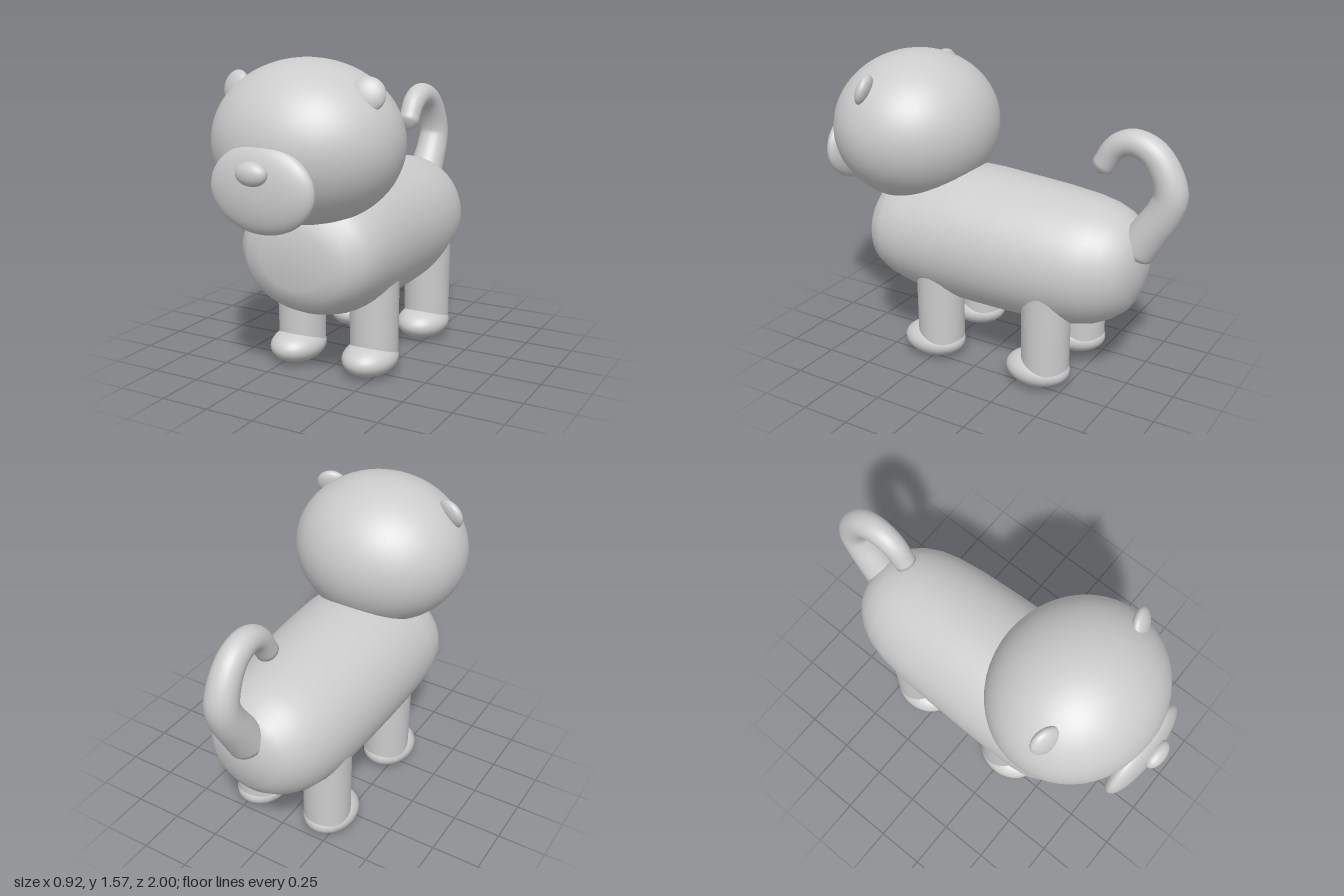
import * as THREE from 'three';

// Skin rings of points (each counter-clockwise around the travel direction), closed by a point at each end
function loft(rings, start, end) {
  const n = rings[0].length, pos = [], idx = [];
  rings.forEach(r => r.forEach(p => pos.push(p.x, p.y, p.z)));
  const s = rings.length * n, e = s + 1, last = (rings.length - 1) * n;
  pos.push(start.x, start.y, start.z, end.x, end.y, end.z);
  for (let i = 0; i < rings.length - 1; i++) {
    for (let j = 0; j < n; j++) {
      const a = i * n + j, b = i * n + (j + 1) % n;
      idx.push(a, b, a + n, b, b + n, a + n);
    }
  }
  for (let j = 0; j < n; j++) {
    const k = (j + 1) % n;
    idx.push(s, k, j, e, last + j, last + k);
  }
  const g = new THREE.BufferGeometry();
  g.setAttribute('position', new THREE.Float32BufferAttribute(pos, 3));
  g.setIndex(idx);
  g.computeVertexNormals();
  return g;
}

export function createModel() {
  const group = new THREE.Group();
  const grey = new THREE.MeshStandardMaterial({ color: 0xcccccc });
  grey.name = 'plain grey';

  const add = (name, geometry, x = 0, y = 0, z = 0) => {
    const m = new THREE.Mesh(geometry, grey);
    m.name = name;
    m.position.set(x, y, z);
    group.add(m);
    return m;
  };
  const ball = (name, x, y, z, rx, ry, rz) =>
    add(name, new THREE.SphereGeometry(1, 48, 32).scale(rx, ry, rz), x, y, z);

  // Body: oval sections from rump to chest [z, half width, bottom, top]
  const sections = [
    [-0.8, 0.09, 0.57, 0.76], [-0.775, 0.18, 0.485, 0.83], [-0.74, 0.225, 0.425, 0.875],
    [-0.68, 0.275, 0.375, 0.92], [-0.6, 0.315, 0.335, 0.948], [-0.5, 0.341, 0.312, 0.967],
    [-0.35, 0.36, 0.298, 0.982], [-0.15, 0.37, 0.295, 0.995], [0.05, 0.376, 0.296, 1.008],
    [0.25, 0.379, 0.304, 1.008], [0.4, 0.376, 0.323, 0.99], [0.5, 0.362, 0.352, 0.965],
    [0.57, 0.33, 0.385, 0.925], [0.62, 0.27, 0.435, 0.865], [0.643, 0.18, 0.505, 0.8],
  ];
  const bodyRings = sections.map(([z, w, lo, hi]) =>
    Array.from({ length: 48 }, (_, j) => {
      const a = j / 48 * Math.PI * 2;
      return new THREE.Vector3(Math.cos(a) * w, (lo + hi) / 2 + Math.sin(a) * (hi - lo) / 2, z);
    }));
  add('body', loft(bodyRings, new THREE.Vector3(0, 0.67, -0.81), new THREE.Vector3(0, 0.68, 0.658)));

  // Head, muzzle and nose
  ball('head', 0, 1.185, 0.49, 0.462, 0.386, 0.418);
  ball('muzzle', 0, 1.03, 0.88, 0.265, 0.2, 0.075);
  ball('nose', 0, 1.112, 0.957, 0.078, 0.054, 0.043);

  // Ears, legs and feet on both sides
  for (const [side, s] of [['left', 1], ['right', -1]]) {
    const ear = ball(side + 'Ear', s * 0.347, 1.427, 0.56, 0.08, 0.08, 0.037);
    ear.rotation.set(-0.33, s * 0.33, 0);
    for (const [end, z] of [['Front', 0.228], ['Rear', -0.392]]) {
      const leg = new THREE.CylinderGeometry(0.125, 0.12, 0.5, 32);
      add(side + end + 'Leg', leg, s * 0.208, 0.34, z);
      ball(side + end + 'Foot', s * 0.208, 0.09, z + 0.04, 0.134, 0.086, 0.168);
    }
  }

  // Tail: tapering tube curling up and forward, ending in a blunt point
  const path = new THREE.CatmullRomCurve3([
    [0.75, -0.76], [0.86, -0.83], [0.96, -0.89], [1.05, -0.918], [1.16, -0.885],
    [1.245, -0.815], [1.275, -0.72], [1.24, -0.637], [1.135, -0.567],
  ].map(([y, z]) => new THREE.Vector3(0, y, z)));
  const steps = 40, side = new THREE.Vector3(1, 0, 0), tailRings = [];
  for (let i = 0; i <= steps; i++) {
    const t = i / steps, c = path.getPointAt(t);
    const up = path.getTangentAt(t).cross(side);
    const r = 0.098 - 0.042 * Math.min(1, t * 1.05);
    tailRings.push(Array.from({ length: 24 }, (_, j) => {
      const a = j / 24 * Math.PI * 2;
      return c.clone().addScaledVector(side, Math.cos(a) * r).addScaledVector(up, Math.sin(a) * r);
    }));
  }
  add('tail', loft(tailRings, path.getPointAt(0), new THREE.Vector3(0, 1.092, -0.553)));

  return group;
}
